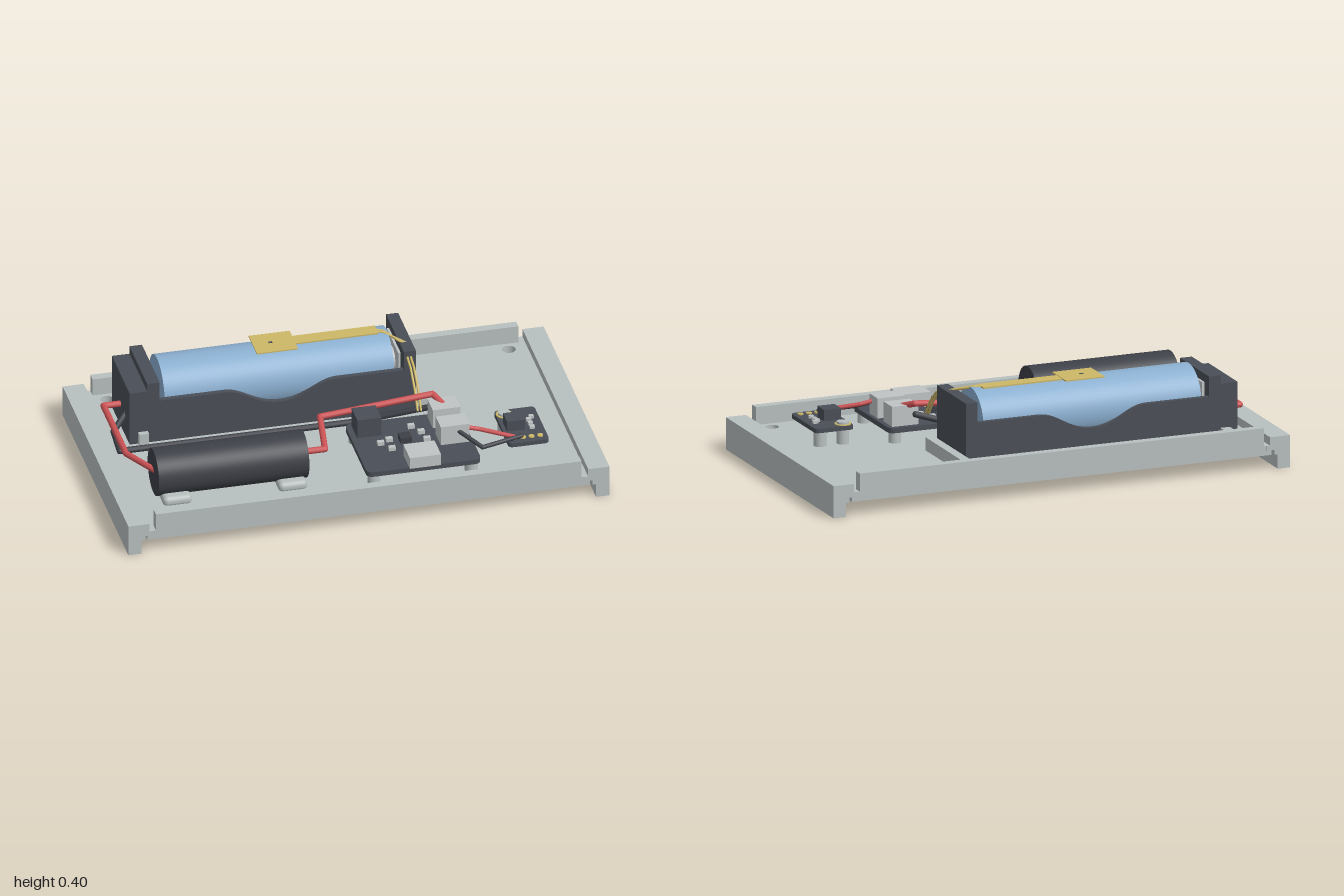
import * as THREE from 'three';
import { mergeGeometries } from 'three/addons/utils/BufferGeometryUtils.js';
import { RoundedBoxGeometry } from 'three/addons/geometries/RoundedBoxGeometry.js';

function mat(name, color) {
  const m = new THREE.MeshStandardMaterial({ color });
  m.name = name;
  return m;
}

export function createModel() {
  const root = new THREE.Group();
  root.name = 'batteryTray';
  const shell = mat('trayGrey', 0xb8bfbf);
  const dark = mat('holderCharcoal', 0x4a4e56);
  const black = mat('casingBlack', 0x3d4047);
  const blue = mat('cellBlue', 0x8bafd0);
  const red = mat('wireRed', 0xcc5355);
  const gold = mat('sensorGold', 0xcdb868);
  const silver = mat('metalSilver', 0xc0c4c5);

  const add = (name, geo, material, parent = root) => {
    const m = new THREE.Mesh(geo, material);
    m.name = name;
    parent.add(m);
    return m;
  };
  const group = (name) => {
    const g = new THREE.Group();
    g.name = name;
    root.add(g);
    return g;
  };
  // Box given by its limits on each axis
  const box = (name, x0, x1, y0, y1, z0, z1, material, parent) =>
    add(name, new THREE.BoxGeometry(x1 - x0, y1 - y0, z1 - z0)
      .translate((x0 + x1) / 2, (y0 + y1) / 2, (z0 + z1) / 2), material, parent);
  const rounded = (name, x0, x1, y0, y1, z0, z1, r, material, parent) =>
    add(name, new RoundedBoxGeometry(x1 - x0, y1 - y0, z1 - z0, 2, r)
      .translate((x0 + x1) / 2, (y0 + y1) / 2, (z0 + z1) / 2), material, parent);
  const post = (name, x, z, r, y0, y1, material, parent) =>
    add(name, new THREE.CylinderGeometry(r, r, y1 - y0, 24).translate(x, (y0 + y1) / 2, z), material, parent);
  // Flat plate with rounded corners and round holes, drawn in x and z
  const plate = (name, x0, x1, y0, y1, z0, z1, r, holes, material, parent) => {
    const s = new THREE.Shape();
    s.moveTo(x0 + r, -z1).lineTo(x1 - r, -z1).quadraticCurveTo(x1, -z1, x1, -z1 + r)
      .lineTo(x1, -z0 - r).quadraticCurveTo(x1, -z0, x1 - r, -z0)
      .lineTo(x0 + r, -z0).quadraticCurveTo(x0, -z0, x0, -z0 - r)
      .lineTo(x0, -z1 + r).quadraticCurveTo(x0, -z1, x0 + r, -z1);
    for (const [hx, hz, hr] of holes) {
      s.holes.push(new THREE.Path().absarc(hx, -hz, hr, 0, Math.PI * 2, true));
    }
    const g = new THREE.ExtrudeGeometry(s, { depth: y1 - y0, bevelEnabled: false, curveSegments: 12 });
    return add(name, g.rotateX(-Math.PI / 2).translate(0, y0, 0), material, parent);
  };
  // Wire made of straight runs with round elbows
  const wire = (name, r, pts, material) => {
    const v = pts.map((p) => new THREE.Vector3(...p));
    const parts = [];
    for (let i = 0; i < v.length; i++) {
      parts.push(new THREE.SphereGeometry(r, 12, 8).translate(v[i].x, v[i].y, v[i].z));
      if (!i) continue;
      const d = v[i].clone().sub(v[i - 1]);
      const c = new THREE.CylinderGeometry(r, r, d.length(), 12);
      c.applyQuaternion(new THREE.Quaternion().setFromUnitVectors(new THREE.Vector3(0, 1, 0), d.normalize()));
      const mid = v[i].clone().add(v[i - 1]).multiplyScalar(0.5);
      parts.push(c.translate(mid.x, mid.y, mid.z));
    }
    return add(name, mergeGeometries(parts), material);
  };

  // Tray: floor, lips and stepped end rails
  const tray = group('tray');
  const holes = [];
  for (const x of [-0.835, 0.835]) for (const z of [-0.48, 0.475]) holes.push([x, z, 0.028]);
  plate('floor', -0.92, 0.92, 0.06, 0.1, -0.563, 0.563, 0.001, holes, shell, tray);
  for (const s of [-1, 1]) {
    const lip = s > 0 ? [0.525, 0.563] : [-0.563, -0.525];
    box('lip', -0.885, 0.885, 0.1, 0.175, ...lip, shell, tray);
    const profile = [[1, 0], [1, 0.135], [0.912, 0.135], [0.912, 0.1], [0.895, 0.1],
      [0.895, 0.08], [0.93, 0.08], [0.93, 0.06], [0.945, 0.06], [0.945, 0]];
    const shape = new THREE.Shape(profile.map(([x, y]) => new THREE.Vector2(x * s, y)));
    add('endRail', new THREE.ExtrudeGeometry(shape, { depth: 1.13, bevelEnabled: false })
      .translate(0, 0, -0.565), shell, tray);
  }
  // Locating ribs and cradle pads on the floor
  box('holderRib', 0.362, 0.4, 0.1, 0.155, -0.46, -0.09, shell, tray);
  for (const z of [[-0.46, -0.422], [-0.113, -0.09]]) {
    box('holderTab', -0.795, -0.755, 0.1, 0.155, ...z, shell, tray);
  }
  for (const x of [-0.75, -0.27]) {
    rounded('cradlePad', x - 0.06, x + 0.06, 0.09, 0.135, 0.14, 0.39, 0.02, shell, tray);
  }

  // Cell holder with dipped side walls and stepped ends
  const holder = group('cellHolder');
  box('holderBase', -0.83, 0.36, 0.1, 0.125, -0.42, -0.115, dark, holder);
  const wall = new THREE.Shape();
  wall.moveTo(-0.83, 0.1).lineTo(0.36, 0.1).lineTo(0.36, 0.29).lineTo(0.03, 0.29)
    .bezierCurveTo(-0.06, 0.285, -0.09, 0.215, -0.2, 0.215)
    .bezierCurveTo(-0.31, 0.215, -0.34, 0.285, -0.43, 0.29).lineTo(-0.83, 0.29);
  for (const z of [-0.42, -0.137]) {
    add('holderSide', new THREE.ExtrudeGeometry(wall, { depth: 0.022, bevelEnabled: false, curveSegments: 16 })
      .translate(0, 0, z), dark, holder);
  }
  box('terminalBlock', -0.83, -0.757, 0.1, 0.34, -0.42, -0.115, dark, holder);
  box('leftEndWall', -0.757, -0.705, 0.1, 0.375, -0.42, -0.115, dark, holder);
  box('rightEndWall', 0.31, 0.36, 0.1, 0.375, -0.42, -0.115, dark, holder);
  box('contactPlate', -0.705, -0.695, 0.15, 0.34, -0.37, -0.17, silver, holder);
  box('contactPlate', 0.3, 0.31, 0.15, 0.34, -0.37, -0.17, silver, holder);

  // Cell
  const cell = group('cell');
  add('cellBody', new THREE.CylinderGeometry(0.134, 0.134, 0.955, 48).rotateZ(Math.PI / 2)
    .translate(-0.202, 0.262, -0.268), blue, cell);
  add('cellTip', new THREE.CylinderGeometry(0.05, 0.05, 0.03, 24).rotateZ(Math.PI / 2)
    .translate(0.288, 0.262, -0.268), silver, cell);

  // Flat temperature sensor lying on the cell
  const sensor = group('temperatureSensor');
  box('sensorPad', -0.28, -0.11, 0.397, 0.402, -0.343, -0.2, gold, sensor);
  box('sensorStrip', -0.11, 0.235, 0.394, 0.4, -0.305, -0.245, gold, sensor);
  box('sensorDot', -0.215, -0.2, 0.402, 0.404, -0.277, -0.267, dark, sensor);
  for (const o of [0, 0.014]) {
    wire('sensorLead', 0.005, [[0.225, 0.397, -0.28 + o], [0.26, 0.395, -0.265 + o], [0.325 + o, 0.37, -0.19],
      [0.325 + o, 0.33, -0.06], [0.325 + o, 0.27, 0.01], [0.325 + o, 0.2, 0.06]], gold);
  }

  // Cylindrical casing beside the cell
  add('cylinderCasing', new THREE.CylinderGeometry(0.099, 0.099, 0.625, 48).rotateZ(Math.PI / 2)
    .translate(-0.512, 0.196, 0.27), black);

  // Charging board
  const board = group('chargingBoard');
  const corners = [];
  for (const x of [0.06, 0.465]) for (const z of [0.075, 0.4]) corners.push([x, z, 0.014]);
  plate('boardPlate', 0.025, 0.5, 0.145, 0.166, 0.043, 0.435, 0.03, [], dark, board);
  for (const [x, z] of corners) post('boardStandoff', x, z, 0.026, 0.1, 0.145, shell, board);
  box('inductor', 0.05, 0.15, 0.166, 0.25, 0.06, 0.16, dark, board);
  box('usbSocket', 0.2, 0.33, 0.166, 0.216, 0.33, 0.443, silver, board);
  box('cellSocket', 0.365, 0.48, 0.166, 0.25, 0.065, 0.155, silver, board);
  box('outputSocket', 0.365, 0.485, 0.166, 0.25, 0.205, 0.292, silver, board);
  box('chip', 0.21, 0.258, 0.166, 0.19, 0.195, 0.243, black, board);
  for (const [x, z] of [[0.28, 0.13], [0.17, 0.21], [0.13, 0.23], [0.165, 0.28], [0.31, 0.18], [0.32, 0.24], [0.31, 0.3], [0.23, 0.305]]) {
    box('boardPart', x - 0.014, x + 0.014, 0.166, 0.182, z - 0.01, z + 0.01, silver, board);
  }

  // Small sensor board
  const small = group('sensorBoard');
  plate('sensorPlate', 0.63, 0.798, 0.162, 0.18, 0.105, 0.37, 0.02, [], dark, small);
  post('sensorStandoff', 0.665, 0.14, 0.026, 0.1, 0.162, shell, small);
  post('sensorStandoff', 0.765, 0.14, 0.026, 0.1, 0.162, shell, small);
  post('padRing', 0.665, 0.14, 0.034, 0.178, 0.183, gold, small);
  post('pegTop', 0.665, 0.14, 0.025, 0.18, 0.192, shell, small);
  box('sensorChip', 0.645, 0.72, 0.18, 0.227, 0.205, 0.275, dark, small);
  for (const [x, z] of [[0.75, 0.21], [0.75, 0.24], [0.75, 0.27], [0.765, 0.19]]) {
    box('sensorPart', x - 0.01, x + 0.01, 0.18, 0.192, z - 0.008, z + 0.008, silver, small);
  }
  for (let i = 0; i < 4; i++) post('solderPad', 0.66 + i * 0.036, 0.335, 0.012, 0.179, 0.185, gold, small);

  // Wiring
  wire('redLeadLeft', 0.013, [[-0.82, 0.2, -0.275], [-0.9, 0.2, -0.275], [-0.9, 0.2, 0.11], [-0.815, 0.2, 0.27]], red);
  wire('redLeadRight', 0.013, [[-0.21, 0.2, 0.265], [-0.11, 0.2, 0.265], [-0.08, 0.225, 0.055],
    [0.39, 0.26, 0.045], [0.42, 0.24, 0.1]], red);
  wire('blackLead', 0.013, [[-0.82, 0.2, -0.21], [-0.885, 0.14, -0.165], [-0.89, 0.125, -0.035],
    [0.08, 0.125, -0.035], [0.38, 0.21, 0.06]], black);
  wire('redSensorLead', 0.009, [[0.47, 0.225, 0.27], [0.53, 0.212, 0.28], [0.66, 0.19, 0.335]], red);
  wire('blackSensorLead', 0.009, [[0.44, 0.22, 0.285], [0.52, 0.18, 0.37], [0.69, 0.19, 0.335]], black);

  return root;
}
